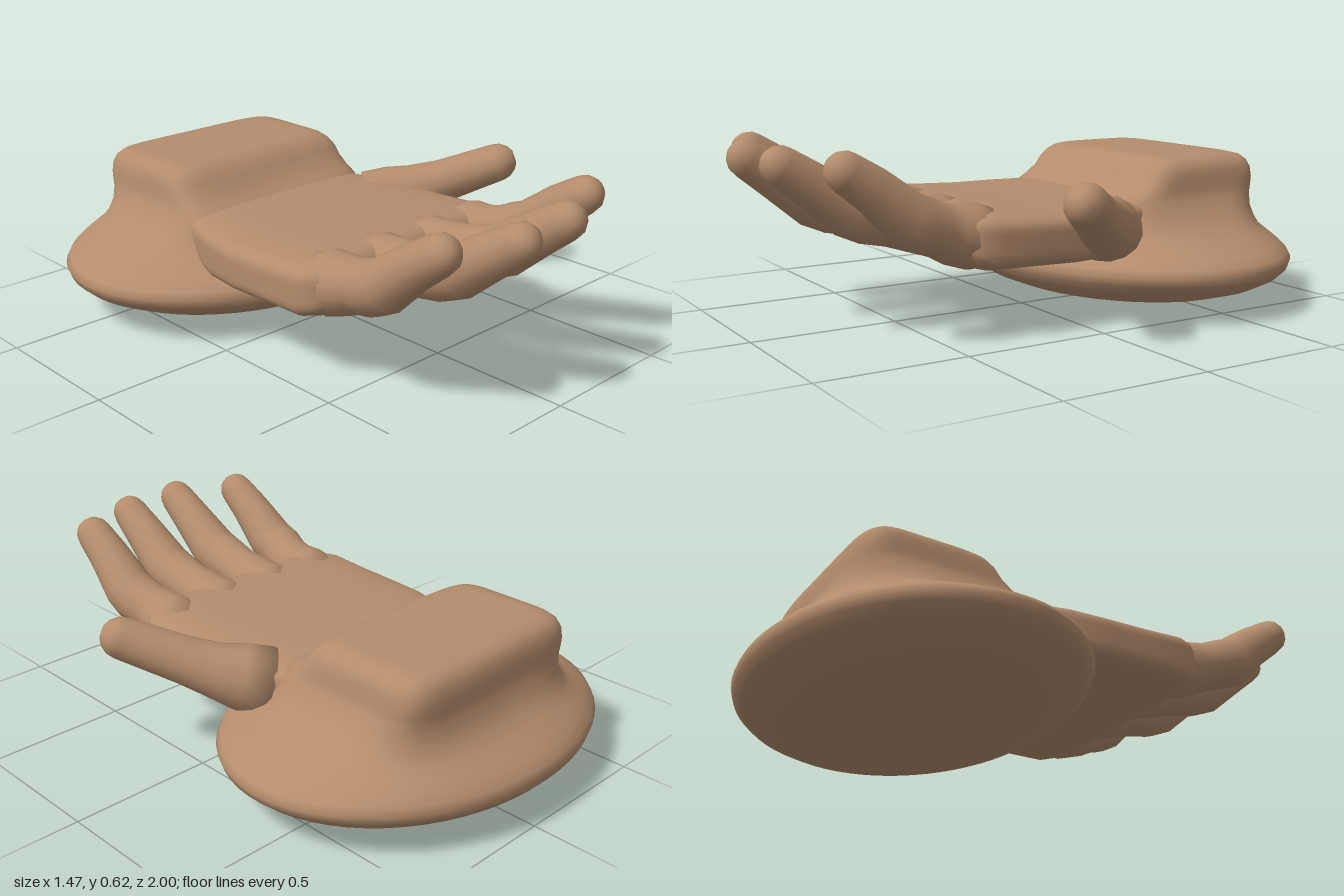
import * as THREE from 'three';

const V = (x, y, z) => new THREE.Vector3(x, y, z);

// Closed ring around c: e = 1 is an ellipse, smaller e is boxier
function ring(c, u, v, a, b, e, n) {
  const pts = [];
  const pw = (t) => Math.sign(t) * Math.pow(Math.abs(t), e);
  for (let i = 0; i < n; i++) {
    const t = ((i + 0.5) / n) * Math.PI * 2;
    pts.push(c.clone().addScaledVector(u, a * pw(Math.cos(t))).addScaledVector(v, b * pw(Math.sin(t))));
  }
  return pts;
}

// Smooth skin over a row of rings, closed at both ends
function loft(rings) {
  const n = rings[0].length;
  const collapse = (r) => {
    const c = V(0, 0, 0);
    r.forEach((p) => c.addScaledVector(p, 1 / n));
    return r.map(() => c.clone());
  };
  const all = [collapse(rings[0]), ...rings, collapse(rings[rings.length - 1])];
  const index = [];
  for (let i = 0; i < all.length - 1; i++) {
    for (let j = 0; j < n; j++) {
      const k = (j + 1) % n;
      const a = i * n + j, b = i * n + k, c = (i + 1) * n + k, d = (i + 1) * n + j;
      if (i > 0) index.push(a, b, c);
      else index.push(a, c, d);
      if (i > 0 && i < all.length - 2) index.push(a, c, d);
    }
  }
  const geo = new THREE.BufferGeometry().setFromPoints(all.flat());
  geo.setIndex(index);
  geo.computeVertexNormals();
  return geo;
}

// Digit: points [x, y, z, radius] with a rounded tip on the last one
function digit(points) {
  const P = points.map((p) => V(p[0], p[1], p[2]));
  const last = P.length - 1;
  const rings = [];
  const add = (c, t, r) => {
    const u = V(1, 0, 0).addScaledVector(t, -t.x).normalize();
    rings.push(ring(c, u, t.clone().cross(u), r, r, 1, 14));
  };
  const dir = (i) => P[Math.min(i + 1, last)].clone().sub(P[Math.max(i - 1, 0)]).normalize();
  P.forEach((p, i) => add(p, dir(i), points[i][3]));
  const t = dir(last), r = points[last][3];
  for (const s of [25, 50, 72]) {
    const a = THREE.MathUtils.degToRad(s);
    add(P[last].clone().addScaledVector(t, r * Math.sin(a)), t, r * Math.cos(a));
  }
  return loft(rings);
}

export function createModel() {
  const group = new THREE.Group();
  group.name = 'handSeat';
  const skin = new THREE.MeshStandardMaterial({ color: 0xb48c6c });
  skin.name = 'tan';
  const add = (name, geo) => {
    const m = new THREE.Mesh(geo, skin);
    m.name = name;
    group.add(m);
  };
  const X = V(1, 0, 0), Y = V(0, 1, 0), Z = V(0, 0, 1);

  // Oval base, bottom half of an ellipsoid, flowing up into the boxy heel block
  const baseRings = [];
  for (const deg of [4, 12, 22, 34, 46, 58, 70, 80]) {
    const a = THREE.MathUtils.degToRad(deg), s = Math.sin(a);
    baseRings.push(ring(V(-0.035, 0.17 * (1 - Math.cos(a)), -0.45), Z, X, 0.55 * s, 0.71 * s, 1, 64));
  }
  // y, x min, x max, z min, z max, roundness
  const heel = [
    [0.17, -0.745, 0.675, -1.0, 0.1, 1],
    [0.195, -0.73, 0.66, -0.99, 0.09, 1],
    [0.22, -0.685, 0.615, -0.965, 0.06, 0.97],
    [0.245, -0.62, 0.545, -0.93, -0.01, 0.9],
    [0.27, -0.56, 0.485, -0.885, -0.07, 0.78],
    [0.3, -0.51, 0.44, -0.85, -0.11, 0.64],
    [0.34, -0.47, 0.4, -0.822, -0.145, 0.5],
    [0.385, -0.443, 0.373, -0.81, -0.19, 0.38],
    [0.41, -0.435, 0.365, -0.807, -0.24, 0.33],
    [0.44, -0.43, 0.36, -0.805, -0.285, 0.3],
    [0.475, -0.425, 0.355, -0.8, -0.31, 0.3],
    [0.5, -0.412, 0.342, -0.788, -0.335, 0.3],
    [0.517, -0.392, 0.322, -0.77, -0.36, 0.3],
    [0.525, -0.36, 0.29, -0.74, -0.39, 0.3],
    [0.525, -0.33, 0.26, -0.71, -0.42, 0.3],
  ];
  for (const [y, x0, x1, z0, z1, e] of heel) {
    baseRings.push(ring(V((x0 + x1) / 2, y, (z0 + z1) / 2), Z, X, (z1 - z0) / 2, (x1 - x0) / 2, e, 64));
  }
  add('baseAndHeel', loft(baseRings));

  // Flat palm: z, x min, x max, y min, y max
  const palm = [
    [-0.36, -0.4, 0.33, 0.2, 0.4],
    [-0.25, -0.44, 0.37, 0.2, 0.402],
    [-0.1, -0.485, 0.415, 0.2, 0.4],
    [0.03, -0.5, 0.43, 0.2, 0.398],
    [0.2, -0.5, 0.43, 0.205, 0.405],
    [0.34, -0.5, 0.43, 0.207, 0.415],
    [0.39, -0.478, 0.408, 0.22, 0.415],
    [0.425, -0.455, 0.39, 0.245, 0.4],
    [0.44, -0.42, 0.36, 0.28, 0.37],
  ];
  add('palm', loft(palm.map(([z, x0, x1, y0, y1]) =>
    ring(V((x0 + x1) / 2, (y0 + y1) / 2, z), X, Y, (x1 - x0) / 2, (y1 - y0) / 2, 0.42, 56))));

  // Four fingers curling upward: base x, tip x, tip offset in z
  const fingers = [
    ['littleFinger', -0.365, -0.395, -0.095],
    ['ringFinger', -0.15, -0.16, 0],
    ['middleFinger', 0.08, 0.085, -0.02],
    ['indexFinger', 0.3, 0.325, -0.125],
  ];
  for (const [name, x0, x1, dz] of fingers) {
    const mx = (x0 + x1) / 2;
    add(name, digit([
      [x0, 0.315, 0.3, 0.09],
      [x0, 0.325, 0.38, 0.108],
      [x0, 0.338, 0.45, 0.098],
      [mx, 0.36, 0.56 + dz * 0.4, 0.087],
      [x1, 0.38, 0.65 + dz * 0.7, 0.09],
      [x1, 0.405, 0.715 + dz * 0.8, 0.088],
      [x1, 0.5, 0.85 + dz, 0.073],
      [x1, 0.558, 0.935 + dz, 0.064],
    ]));
  }

  // Thumb leaning out from the left edge of the palm
  add('thumb', digit([
    [0.32, 0.295, -0.14, 0.12],
    [0.39, 0.32, -0.085, 0.112],
    [0.45, 0.345, -0.03, 0.093],
    [0.52, 0.38, 0.045, 0.08],
    [0.66, 0.455, 0.19, 0.07],
  ]));

  return group;
}
